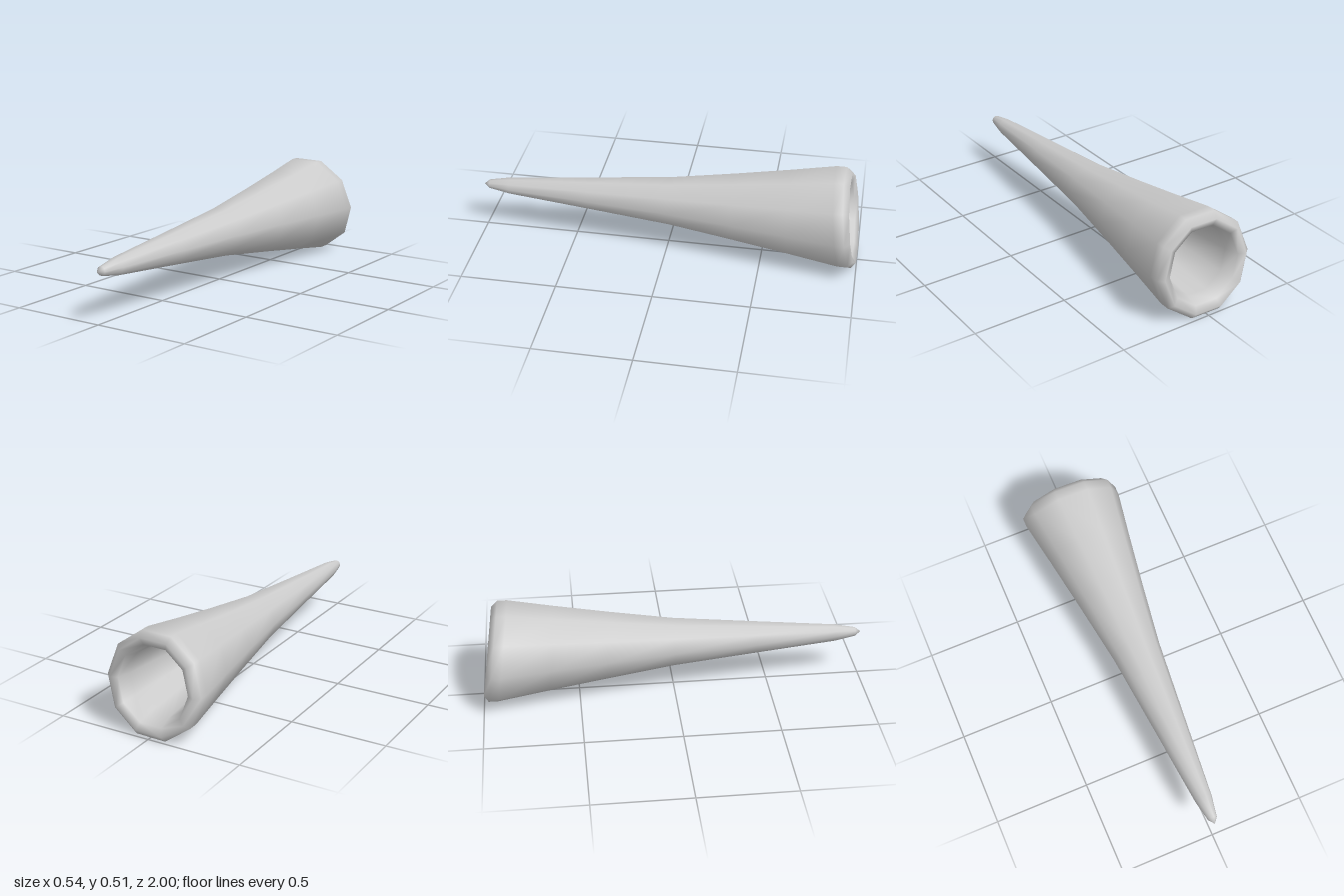
import * as THREE from 'three';
import { mergeVertices } from 'three/addons/utils/BufferGeometryUtils.js';

const CENTRE_Y = 0.257;

// [radius, z]: inner bore, rounded rim, then the outer wall up to the tip
const PROFILE = [
  [0, 0.5], [0.06, 0.1], [0.11, -0.3], [0.155, -0.65], [0.18, -0.88],
  [0.2, -0.95], [0.238, -0.968], [0.268, -0.94], [0.268, -0.89],
  [0.226, -0.64], [0.18, -0.35], [0.128, 0], [0.086, 0.43],
  [0.045, 0.86], [0.024, 0.97], [0, 1],
];

export function createModel() {
  const group = new THREE.Group();
  group.name = 'horn';

  // Ten-sided turned body, axis laid along z
  const points = PROFILE.map(([r, z]) => new THREE.Vector2(r, z));
  let geometry = new THREE.LatheGeometry(points, 10, Math.PI / 2);
  geometry.rotateX(Math.PI / 2);

  // Slant the open end, fading out towards the tip
  const pos = geometry.attributes.position;
  for (let i = 0; i < pos.count; i++) {
    const x = pos.getX(i), y = pos.getY(i), z = pos.getZ(i);
    const fade = THREE.MathUtils.clamp(-z / 0.9, 0, 1);
    pos.setZ(i, z + fade * (0.14 * y + 0.03 * x));
  }

  // Weld the seam for smooth shading all round
  geometry.deleteAttribute('uv');
  geometry.deleteAttribute('normal');
  geometry = mergeVertices(geometry, 1e-5);
  geometry.computeVertexNormals();
  geometry.translate(0, CENTRE_Y, 0);

  const body = new THREE.Mesh(
    geometry,
    new THREE.MeshStandardMaterial({ color: 0xcccccc, side: THREE.DoubleSide })
  );
  body.name = 'hornBody';
  group.add(body);
  return group;
}
